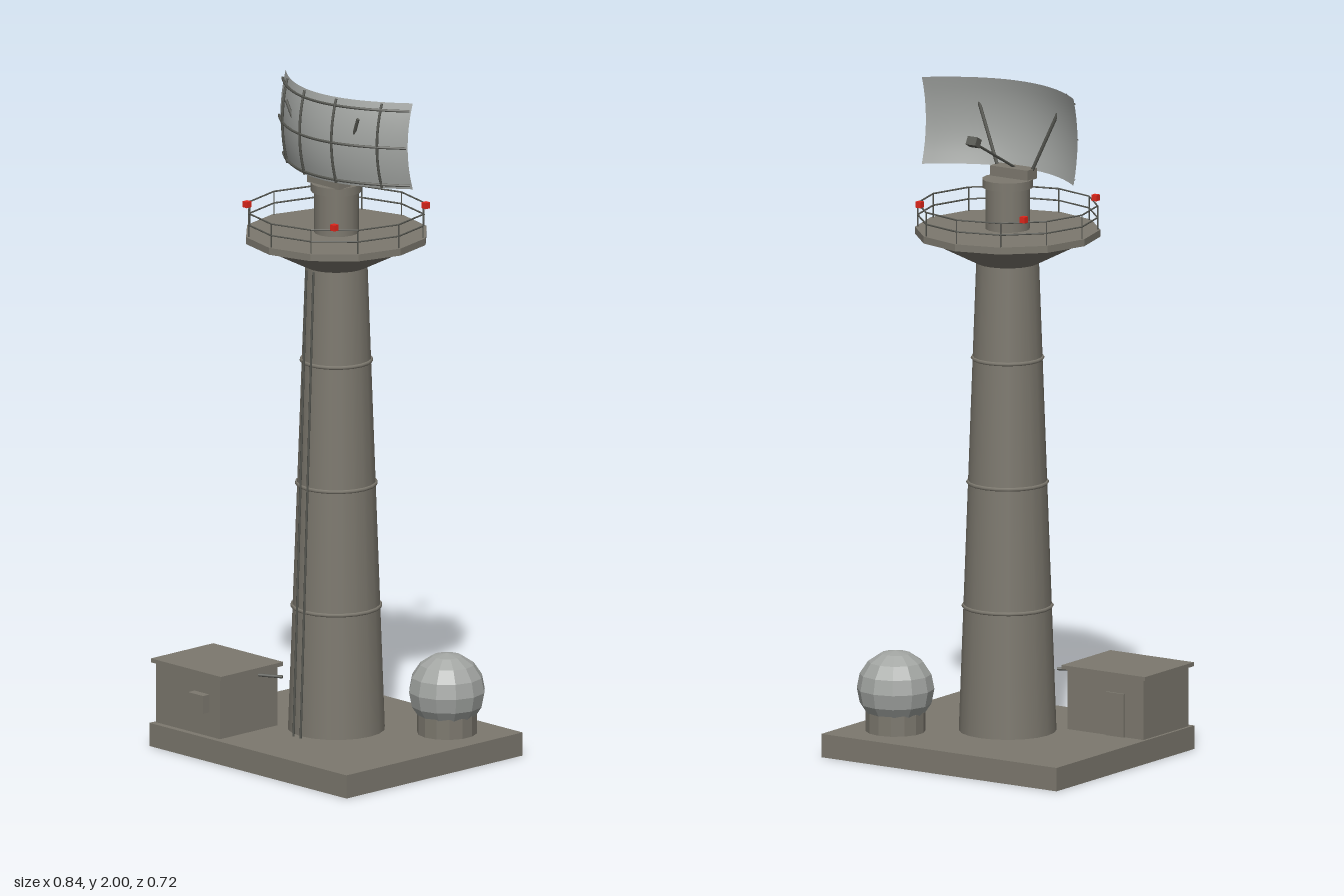
import * as THREE from 'three';

const material = (name, color, side = THREE.FrontSide, flatShading = false) => {
  const m = new THREE.MeshStandardMaterial({ color, side, flatShading });
  m.name = name;
  return m;
};

export function createModel() {
  const concrete = material('concrete', 0x7c786e, THREE.FrontSide, true);
  const shaft = material('shaftConcrete', 0x7c786e);
  const panelGrey = material('panelGrey', 0xa2a5a2, THREE.DoubleSide);
  const domeGrey = material('domeGrey', 0xa2a5a2, THREE.FrontSide, true);
  const steel = material('darkSteel', 0x565751);
  const red = material('warningRed', 0xe0261b);

  const model = new THREE.Group();
  model.name = 'radarTower';
  const V = (x, y, z) => new THREE.Vector3(x, y, z);

  const add = (parent, name, geometry, mat, x = 0, y = 0, z = 0) => {
    const mesh = new THREE.Mesh(geometry, mat);
    mesh.name = name;
    mesh.position.set(x, y, z);
    parent.add(mesh);
    return mesh;
  };
  // Box given by its minimum and maximum corners
  const box = (parent, name, mat, x0, x1, y0, y1, z0, z1) =>
    add(parent, name, new THREE.BoxGeometry(x1 - x0, y1 - y0, z1 - z0), mat,
      (x0 + x1) / 2, (y0 + y1) / 2, (z0 + z1) / 2);
  // Upright round part from y0 to y1
  const round = (parent, name, mat, r0, r1, y0, y1, sides, x = 0, z = 0) =>
    add(parent, name, new THREE.CylinderGeometry(r1, r0, y1 - y0, sides), mat, x, (y0 + y1) / 2, z);
  // Straight rod between two points
  const rod = (parent, name, mat, a, b, r) => {
    const mesh = add(parent, name, new THREE.CylinderGeometry(r, r, a.distanceTo(b), 6), mat);
    mesh.position.copy(a).lerp(b, 0.5);
    mesh.quaternion.setFromUnitVectors(V(0, 1, 0), b.clone().sub(a).normalize());
    return mesh;
  };

  // Foundation
  box(model, 'foundation', concrete, -0.415, 0.419, 0, 0.07, -0.36, 0.353);

  // Equipment hut
  const hut = new THREE.Group();
  hut.name = 'equipmentHut';
  model.add(hut);
  box(hut, 'hutWalls', concrete, -0.406, -0.136, 0.07, 0.25, 0.102, 0.334);
  box(hut, 'hutRoof', concrete, -0.42, -0.124, 0.25, 0.262, 0.09, 0.342);
  box(hut, 'airConditioner', concrete, -0.244, -0.18, 0.143, 0.197, 0.33, 0.36);
  box(hut, 'hutDoor', concrete, -0.34, -0.275, 0.07, 0.2, 0.096, 0.104);
  rod(hut, 'hutConduit', steel, V(-0.14, 0.236, 0.178), V(-0.072, 0.236, 0.142), 0.005);

  // Small radome
  const radome = new THREE.Group();
  radome.name = 'radome';
  model.add(radome);
  round(radome, 'radomePlinth', concrete, 0.088, 0.088, 0.07, 0.13, 14, 0.266, -0.2);
  add(radome, 'radomeShell', new THREE.SphereGeometry(0.114, 12, 8), domeGrey, 0.266, 0.197, -0.2);

  // Tower, centred slightly off the origin
  const tower = new THREE.Group();
  tower.name = 'tower';
  tower.position.set(0.003, 0, -0.004);
  model.add(tower);
  const baseY = 0.07, topY = 1.47;
  const radiusAt = y => THREE.MathUtils.mapLinear(y, baseY, topY, 0.143, 0.092);
  round(tower, 'shaft', shaft, 0.143, 0.092, baseY, topY, 20);
  for (const y of [0.443, 0.813, 1.185]) {
    const ring = add(tower, 'shaftBand', new THREE.TorusGeometry(radiusAt(y), 0.006, 6, 20), shaft, 0, y, 0);
    ring.rotation.x = Math.PI / 2;
  }

  // Cable pair up the front of the shaft
  for (const x of [-0.015, 0.015]) {
    rod(tower, 'cableRail', steel, V(x, baseY, 0.159), V(x, topY, 0.107), 0.0035);
  }

  // Platform
  round(tower, 'platformCone', shaft, 0.092, 0.253, topY, 1.552, 24);
  round(tower, 'platformDeck', concrete, 0.272, 0.272, 1.55, 1.571, 12);

  // Railing with one post at every corner
  const railing = new THREE.Group();
  railing.name = 'railing';
  tower.add(railing);
  const corner = (i, y) => {
    const a = i * Math.PI / 6;
    return V(0.264 * Math.sin(a), y, 0.264 * Math.cos(a));
  };
  for (let i = 0; i < 12; i++) {
    rod(railing, 'railPost', steel, corner(i, 1.57), corner(i, 1.642), 0.002);
    for (const y of [1.607, 1.642]) {
      rod(railing, 'handrail', steel, corner(i, y), corner(i + 1, y), 0.0025);
    }
  }
  for (const x of [-0.185, 0.185]) {
    for (const z of [-0.185, 0.185]) {
      add(tower, 'warningLamp', new THREE.BoxGeometry(0.018, 0.018, 0.018), red, x, 1.652, z);
    }
  }

  // Turning pedestal
  round(tower, 'pedestal', shaft, 0.066, 0.066, 1.57, 1.696, 16);
  round(tower, 'pedestalCap', shaft, 0.075, 0.075, 1.695, 1.72, 16);

  // Antenna
  const antenna = new THREE.Group();
  antenna.name = 'antenna';
  antenna.position.x = 0.002;
  model.add(antenna);
  box(antenna, 'antennaMount', concrete, -0.066, 0.066, 1.718, 1.75, 0, 0.05);

  // Reflector bowed both across and up
  const halfW = 0.269, midY = 1.87, halfH = 0.13;
  const reflectorZ = (x, y) =>
    0.081 - 0.117 * (x / halfW) ** 2 - 0.021 * ((y - midY) / halfH) ** 2;
  const plate = new THREE.PlaneGeometry(2 * halfW, 2 * halfH, 24, 8);
  const p = plate.attributes.position;
  for (let i = 0; i < p.count; i++) {
    const x = p.getX(i), y = p.getY(i) + midY;
    p.setXYZ(i, x, y, reflectorZ(x, y));
  }
  plate.computeVertexNormals();
  add(antenna, 'reflector', plate, panelGrey);

  // Ribs on the outside of the reflector
  const rib = (name, pointAt) => {
    const points = [];
    for (let i = 0; i <= 12; i++) {
      const [x, y] = pointAt(i / 6 - 1);
      points.push(V(x, y, reflectorZ(x, y) + 0.006));
    }
    const path = new THREE.CatmullRomCurve3(points);
    add(antenna, name, new THREE.TubeGeometry(path, 20, 0.004, 6), steel);
  };
  for (const y of [1.752, 1.868, 1.978]) rib('crossRib', t => [t * halfW, y]);
  for (const x of [-0.2, -0.067, 0.067, 0.2]) rib('uprightRib', t => [x, midY + t * 0.127]);

  // Struts behind the reflector, with the feed on its arm
  for (const s of [-1, 1]) {
    rod(antenna, 'reflectorStrut', steel, V(s * 0.055, 1.73, 0.03), V(s * 0.152, 1.95, 0.053), 0.005);
  }
  rod(antenna, 'feedArm', steel, V(0, 1.74, 0.045), V(0, 1.855, -0.175), 0.004);
  const feed = add(antenna, 'feedHorn', new THREE.BoxGeometry(0.034, 0.026, 0.026), steel, 0, 1.86, -0.181);
  feed.rotation.x = 0.49;

  return model;
}
